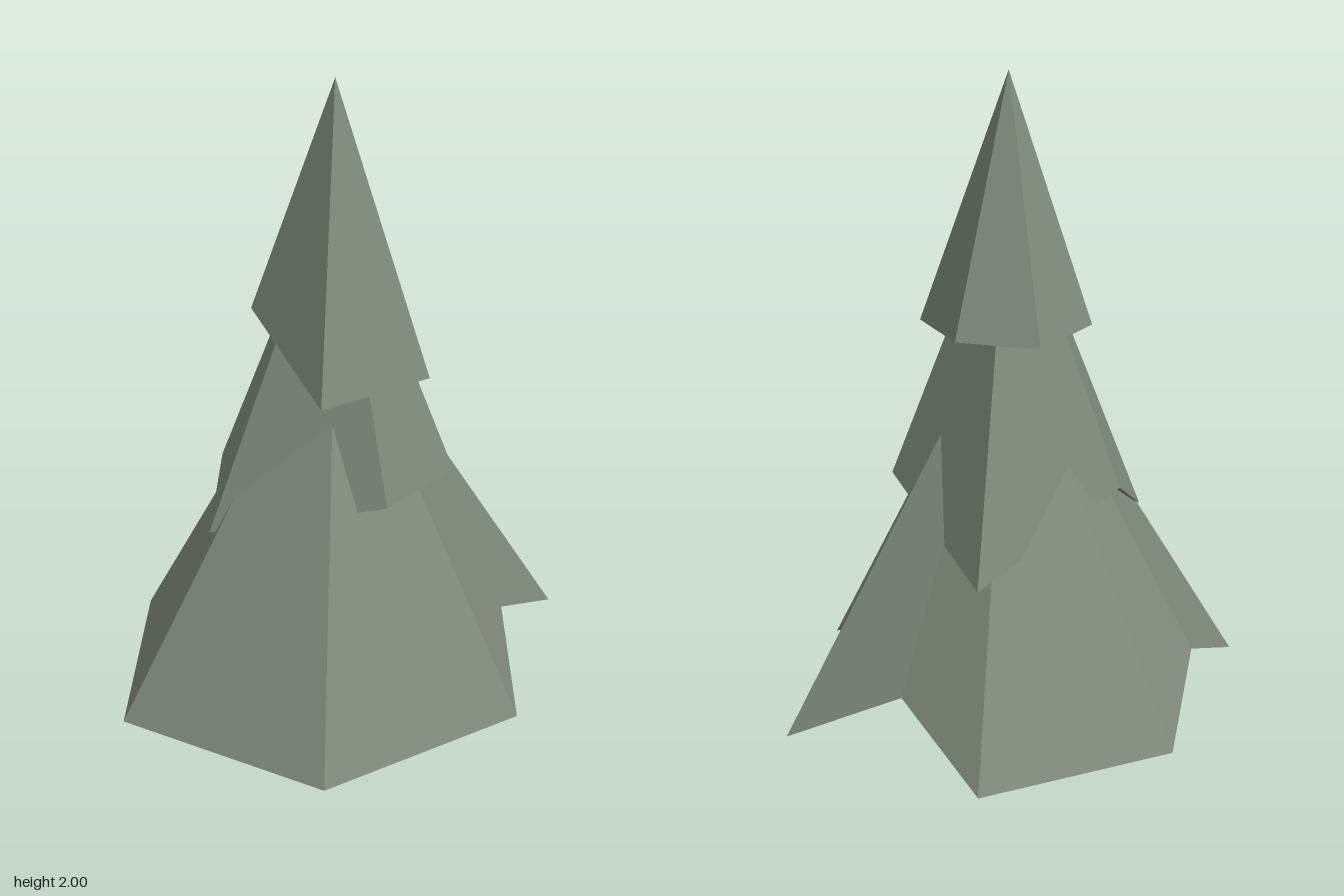
import * as THREE from 'three';

// Faceted cone: an irregular rim (clockwise from above) joined to an apex and a recessed underside centre
function makeTier(name, rim, apexY, baseY, material) {
  const apex = [0, apexY, 0];
  const centre = [0, baseY, 0];
  const positions = [];
  rim.forEach((a, i) => {
    const b = rim[(i + 1) % rim.length];
    positions.push(...apex, ...b, ...a);
    positions.push(...centre, ...a, ...b);
  });
  const geometry = new THREE.BufferGeometry();
  geometry.setAttribute('position', new THREE.Float32BufferAttribute(positions, 3));
  geometry.computeVertexNormals();
  const mesh = new THREE.Mesh(geometry, material);
  mesh.name = name;
  return mesh;
}

export function createModel() {
  const group = new THREE.Group();
  group.name = 'pineTree';

  const green = new THREE.MeshStandardMaterial({
    color: 0x808b7c, flatShading: true, side: THREE.DoubleSide,
  });
  green.name = 'greyGreen';

  // Lowest branches: six drooping tips with three raised notches
  group.add(makeTier('lowerBranches', [
    [-0.35, 0.07, -0.56], [-0.01, 0.24, -0.48], [0.31, 0.06, -0.59],
    [0.385, 0.25, -0.25], [0.585, 0.08, -0.035], [0.34, 0.06, 0.55],
    [-0.305, 0.07, 0.59], [-0.44, 0.24, 0.26], [-0.59, 0.07, -0.005],
  ], 1.28, 0.34, green));

  // Middle branches
  group.add(makeTier('middleBranches', [
    [-0.2, 0.59, -0.38], [0.285, 0.72, -0.16], [0.27, 0.745, 0.14],
    [-0.2, 0.59, 0.325], [-0.275, 0.73, 0.15],
  ], 1.68, 0.85, green));

  // Tree top
  group.add(makeTier('topBranches', [
    [0, 1.245, -0.235], [0.317, 1.12, 0], [0.145, 1.1, 0.28],
    [-0.2, 1.225, 0.12], [-0.2, 1.235, -0.105],
  ], 2, 1.25, green));

  // Trunk: one flat upright strip set diagonally
  const trunk = new THREE.Mesh(new THREE.PlaneGeometry(0.195, 0.34), green);
  trunk.name = 'trunk';
  trunk.position.y = 0.17;
  trunk.rotation.y = Math.PI * 0.75;
  group.add(trunk);

  return group;
}
